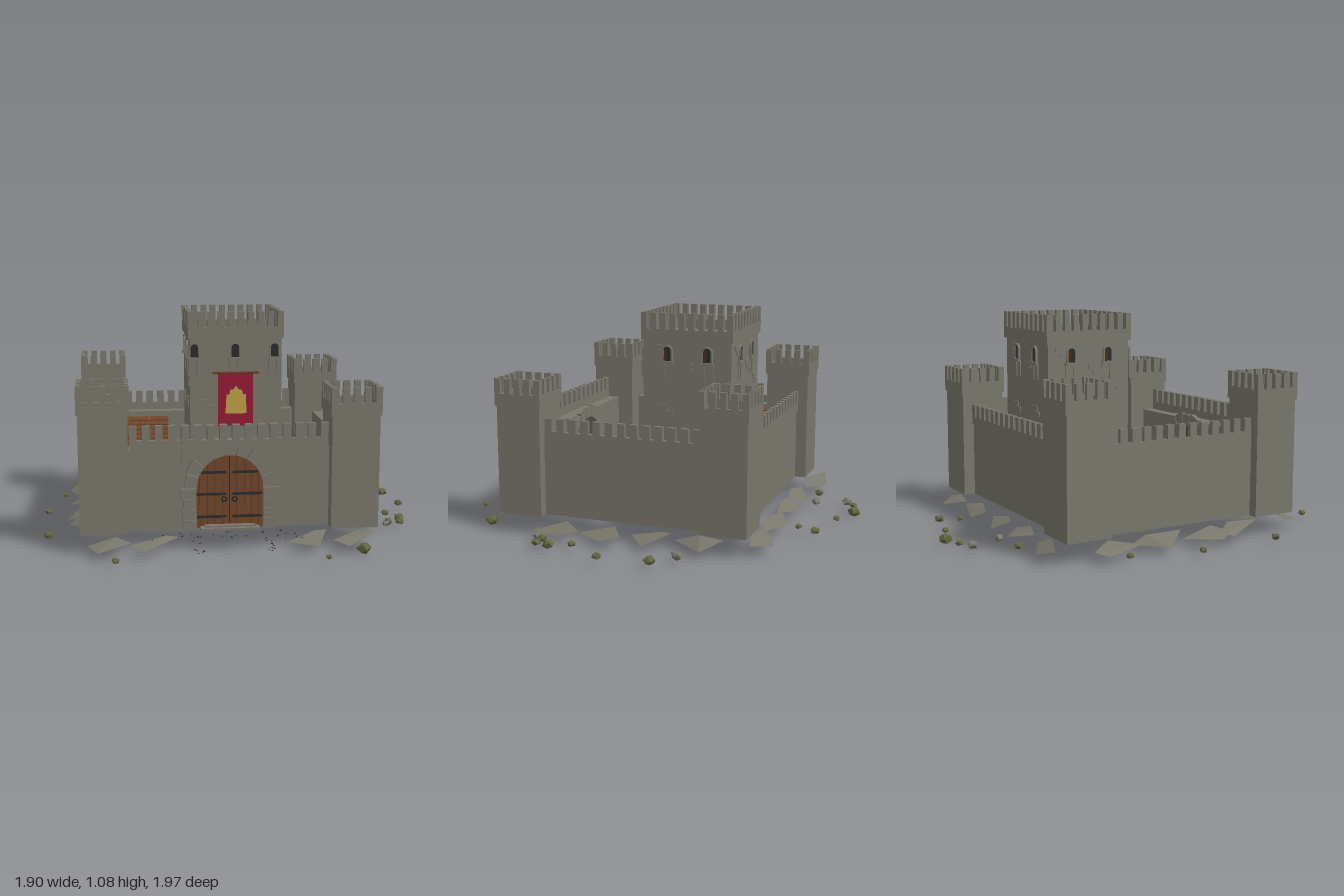
import * as THREE from 'three';
import { ConvexGeometry } from 'three/addons/geometries/ConvexGeometry.js';

const mat = (name, color) => Object.assign(new THREE.MeshStandardMaterial({ color }), { name });

export function createModel() {
  const root = new THREE.Group();
  root.name = 'castle';
  const stone = mat('stone', 0x79776b), wood = mat('wood', 0x70452a), iron = mat('iron', 0x2b2b2b);
  const red = mat('banner red', 0x941c38), gold = mat('gold', 0xbfa045), moss = mat('mossy rock', 0x62663f);
  const darkWood = mat('dark wood', 0x4a2e1c);
  let seed = 7;
  const rnd = (a = 0, b = 1) => {
    seed = (seed * 16807) % 2147483647;
    return a + (b - a) * seed / 2147483647;
  };
  const group = (name, parent = root) => {
    const g = new THREE.Group();
    g.name = name;
    parent.add(g);
    return g;
  };
  const add = (parent, name, geo, m, x = 0, y = 0, z = 0) => {
    const mesh = new THREE.Mesh(geo, m);
    mesh.name = name;
    mesh.position.set(x, y, z);
    parent.add(mesh);
    return mesh;
  };
  // box given by its limits
  const box = (p, name, m, x0, x1, y0, y1, z0, z1) =>
    add(p, name, new THREE.BoxGeometry(x1 - x0, y1 - y0, z1 - z0), m, (x0 + x1) / 2, (y0 + y1) / 2, (z0 + z1) / 2);

  // a straight parapet with merlons, along x or z
  const parapet = (p, along, a0, a1, b0, b1, y0, y1, y2, n, fill = 0.6) => {
    const part = (name, s, e, lo, hi) => along === 'x'
      ? box(p, name, stone, s, e, lo, hi, b0, b1) : box(p, name, stone, b0, b1, lo, hi, s, e);
    part('parapet', a0, a1, y0, y1);
    const pitch = (a1 - a0) / (n - 1 + fill);
    for (let i = 0; i < n; i++) part('merlon', a0 + i * pitch, a0 + (i + fill) * pitch, y1, y2);
  };
  const crown = (p, x0, x1, z0, z1, y0, y1, y2, n, t) => {
    parapet(p, 'x', x0, x1, z0, z0 + t, y0, y1, y2, n);
    parapet(p, 'x', x0, x1, z1 - t, z1, y0, y1, y2, n);
    parapet(p, 'z', z0, z1, x0, x0 + t, y0, y1, y2, n);
    parapet(p, 'z', z0, z1, x1 - t, x1, y0, y1, y2, n);
  };

  // corner towers
  for (const [cx, cz, top] of [[-0.64, 0.523, 0.8], [-0.64, -0.515, 0.81], [0.54, 0.523, 0.775], [0.54, -0.515, 0.775]]) {
    const t = group('cornerTower'), r = 0.114, c = 0.121;
    box(t, 'towerBody', stone, cx - r, cx + r, 0.1, top - 0.12, cz - r, cz + r);
    crown(t, cx - c, cx + c, cz - c, cz + c, top - 0.135, top - 0.075, top, 5, 0.02);
  }

  // curtain walls, with the parapet on the outer edge
  const walls = group('curtainWalls');
  box(walls, 'frontWall', stone, -0.53, -0.26, 0.1, 0.485, 0.495, 0.57);
  box(walls, 'frontWall', stone, 0.165, 0.43, 0.1, 0.485, 0.495, 0.57);
  box(walls, 'backWall', stone, -0.53, 0.43, 0.1, 0.48, -0.57, -0.49);
  box(walls, 'leftWall', stone, 0.525, 0.605, 0.1, 0.48, -0.4, 0.41);
  box(walls, 'rightWall', stone, -0.705, -0.625, 0.1, 0.48, -0.4, 0.41);
  parapet(walls, 'x', -0.52, 0.42, 0.555, 0.58, 0.48, 0.53, 0.6, 16);
  parapet(walls, 'x', -0.52, 0.42, -0.58, -0.555, 0.48, 0.52, 0.585, 16);
  parapet(walls, 'z', -0.395, 0.402, 0.59, 0.613, 0.48, 0.52, 0.585, 13);
  parapet(walls, 'z', -0.395, 0.402, -0.713, -0.69, 0.48, 0.52, 0.585, 13);

  // gatehouse with an arched opening
  const gate = group('gatehouse'), gx = -0.05, spring = 0.3, R = 0.16;
  const arch = (Path, r) => {
    const s = new Path();
    s.moveTo(gx - r, 0.1);
    s.lineTo(gx + r, 0.1);
    s.lineTo(gx + r, spring);
    s.absarc(gx, spring, r, 0, Math.PI, false);
    s.lineTo(gx - r, 0.1);
    return s;
  };
  const extrude = (shape, depth) => new THREE.ExtrudeGeometry(shape, { depth, bevelEnabled: false, curveSegments: 16 });
  const front = new THREE.Shape();
  front.moveTo(gx - 0.225, 0.1);
  front.lineTo(gx - R, 0.1);
  front.lineTo(gx - R, spring);
  front.absarc(gx, spring, R, Math.PI, 0, true);
  front.lineTo(gx + R, 0.1);
  front.lineTo(gx + 0.225, 0.1);
  front.lineTo(gx + 0.225, 0.49);
  front.lineTo(gx - 0.225, 0.49);
  add(gate, 'gateWall', extrude(front, 0.1), stone, 0, 0, 0.48);
  parapet(gate, 'x', gx - 0.225, gx + 0.225, 0.565, 0.592, 0.485, 0.53, 0.6, 8);

  // arch stones and jambs on both faces
  for (const z of [0.575, 0.47]) {
    for (let i = 0; i < 9; i++) {
      const a = i * Math.PI / 9 + 0.012, b = (i + 1) * Math.PI / 9 - 0.012, o = 0.215 + (i % 2) * 0.008;
      const s = new THREE.Shape();
      s.absarc(gx, spring, o, a, b, false);
      s.absarc(gx, spring, R - 0.003, b, a, true);
      add(gate, 'archStone', extrude(s, 0.022 + (i % 2) * 0.003), stone, 0, 0, z);
    }
    for (const s of [-1, 1]) for (let i = 0; i < 4; i++) {
      const w = i === 3 ? 0.232 : 0.218 + (i % 2) * 0.007;
      const xs = [gx + s * 0.158, gx + s * w].sort((a, b) => a - b);
      box(gate, 'jambStone', stone, xs[0], xs[1], 0.1 + i * 0.05, 0.148 + i * 0.05, z, z + 0.023);
    }
  }
  add(gate, 'door', extrude(arch(THREE.Shape, R), 0.02), wood, 0, 0, 0.545);
  for (const y of [0.155, 0.265, 0.37]) for (const s of [-1, 1]) {
    const w = y > 0.3 ? 0.135 : 0.155;
    box(gate, 'hinge', iron, gx + (s < 0 ? -w : 0.015), gx + (s < 0 ? -0.015 : w), y - 0.006, y + 0.006, 0.564, 0.571);
  }
  for (let i = -4; i <= 4; i++) {
    const x = gx + i * 0.035, w = i ? 0.001 : 0.002, h = spring + Math.sqrt(R * R - (i * 0.035) ** 2);
    box(gate, 'plankSeam', i ? darkWood : iron, x - w, x + w, 0.1, h, 0.5445, 0.5658);
  }
  for (const s of [-1, 1]) add(gate, 'handle', new THREE.TorusGeometry(0.011, 0.004, 6, 12), iron, gx + s * 0.025, 0.24, 0.572);
  box(gate, 'step', stone, -0.19, 0.09, 0.1, 0.112, 0.575, 0.625);
  box(gate, 'step', stone, -0.17, 0.07, 0.112, 0.12, 0.575, 0.605);

  // keep
  const keep = group('keep'), kx = 0.044, kz = -0.21, kw = 0.238, kd = 0.226;
  box(keep, 'keepBody', stone, kx - kw, kx + kw, 0.1, 0.95, kz - kd, kz + kd);
  crown(keep, kx - kw - 0.01, kx + kw + 0.01, kz - kd - 0.01, kz + kd + 0.01, 0.945, 1.0, 1.08, 10, 0.025);

  // windows and raised masonry, one group for each face of the keep
  const pane = new THREE.Shape();
  pane.moveTo(-0.02, 0);
  pane.lineTo(0.02, 0);
  pane.lineTo(0.02, 0.05);
  pane.absarc(0, 0.05, 0.02, 0, Math.PI, false);
  const frame = new THREE.Shape();
  frame.moveTo(-0.028, -0.005);
  frame.lineTo(0.028, -0.005);
  frame.lineTo(0.028, 0.05);
  frame.absarc(0, 0.05, 0.028, 0, Math.PI, false);
  frame.holes.push(pane.clone());
  const face = (name, angle, dist, xs, bricks) => {
    const f = group(name, keep);
    f.position.set(kx, 0, kz);
    f.rotation.y = angle;
    for (const x of xs) {
      add(f, 'windowPane', extrude(pane, 0.004), iron, x, 0.845, dist);
      add(f, 'windowFrame', extrude(frame, 0.012), stone, x, 0.845, dist);
      if (angle) box(f, 'shutter', darkWood, x - 0.017, x - 0.003, 0.85, 0.9, dist, dist + 0.007);
      box(f, 'sill', stone, x - 0.034, x + 0.034, 0.83, 0.842, dist, dist + 0.016);
      for (const s of [-0.022, 0.022])
        box(f, 'bracket', stone, x + s - 0.01, x + s + 0.01, 0.755, 0.83, dist, dist + (angle ? 0.006 : 0.013));
    }
    for (const [x, y] of bricks) {
      box(f, 'brick', stone, x - 0.035, x + 0.025, y, y + 0.025, dist, dist + 0.006);
      box(f, 'brick', stone, x - 0.01, x + 0.045, y - 0.027, y - 0.002, dist, dist + 0.006);
    }
  };
  const side = [[-0.15, 0.9], [0.03, 0.81], [0.17, 0.72], [-0.12, 0.6], [0.1, 0.6], [-0.03, 0.42], [0.15, 0.3]];
  face('keepFront', 0, kd, [-0.215, -0.004, 0.2], [[-0.15, 0.6], [0.18, 0.5], [-0.1, 0.3]]);
  face('keepBack', Math.PI, kd, [-0.1, 0.1], side);
  face('keepLeft', Math.PI / 2, kw, [-0.1, 0.105], side);
  face('keepRight', -Math.PI / 2, kw, [-0.1, 0.105], side);

  // banner with a plain tower-shaped emblem
  const banner = group('banner');
  const rod = add(banner, 'rod', new THREE.CylinderGeometry(0.006, 0.006, 0.24, 8), wood, 0.04, 0.768, 0.04);
  rod.rotation.z = Math.PI / 2;
  box(banner, 'cloth', red, -0.052, 0.13, 0.49, 0.765, 0.034, 0.042);
  const emblem = new THREE.Shape([[-0.055, -0.07], [0.055, -0.07], [0.05, 0.03], [0.035, 0.03], [0.03, 0.055],
    [0.015, 0.055], [0, 0.075], [-0.015, 0.055], [-0.03, 0.055], [-0.035, 0.03], [-0.05, 0.03]].map(p => new THREE.Vector2(...p)));
  add(banner, 'emblem', extrude(emblem, 0.004), gold, 0.042, 0.625, 0.041);

  // plank-roofed shelter, rising to the back
  const shelter = group('shelter');
  for (let r = 0; r < 8; r++) for (let c = 0; c < 5; c++) {
    const m = add(shelter, 'roofPlank', new THREE.BoxGeometry(0.05, 0.012, 0.062), wood,
      -0.525 + c * 0.0525 + rnd(-0.004, 0.004), 0.36 + r * 0.014, 0.02 - r * 0.055);
    m.rotation.x = 0.15;
  }
  box(shelter, 'roofBeam', wood, -0.53, -0.31, 0.325, 0.345, 0, 0.02);
  box(shelter, 'roofBeam', wood, -0.53, -0.31, 0.42, 0.44, -0.37, -0.35);
  for (const x of [-0.53, -0.31]) {
    box(shelter, 'post', wood, x - 0.01, x + 0.01, 0.1, 0.34, 0, 0.02);
    box(shelter, 'post', wood, x - 0.01, x + 0.01, 0.1, 0.44, -0.37, -0.35);
  }
  box(shelter, 'crate', wood, -0.48, -0.33, 0.1, 0.19, -0.29, -0.07);

  // weapon rack beside the wall
  const rack = group('weaponRack');
  const roof = box(rack, 'rackRoof', wood, 0.365, 0.525, 0.33, 0.345, 0.02, 0.325);
  roof.rotation.z = 0.25;
  for (const z of [0.04, 0.305]) box(rack, 'rackPost', wood, 0.385, 0.4, 0.1, 0.32, z - 0.008, z + 0.008);
  for (const y of [0.15, 0.23]) box(rack, 'rackRail', wood, 0.375, 0.39, y, y + 0.015, 0.04, 0.305);
  for (let i = 0; i < 5; i++) {
    const z = 0.145 + i * 0.033;
    const blade = box(rack, 'blade', iron, 0.357, 0.363, 0.11, 0.27, z - 0.006, z + 0.006);
    blade.rotation.z = -0.15;
    box(rack, 'crossGuard', iron, 0.335, 0.37, 0.215, 0.222, z - 0.012, z + 0.012);
  }

  // barrels
  for (const [x, z] of [[0.45, -0.23], [-0.475, 0.222], [-0.412, 0.248]]) {
    const b = group('barrel');
    b.position.set(x, 0.1, z);
    const profile = [[0, 0], [0.024, 0], [0.03, 0.03], [0.03, 0.065], [0.024, 0.095], [0, 0.095]];
    add(b, 'barrelBody', new THREE.LatheGeometry(profile.map(p => new THREE.Vector2(...p)), 12), wood);
    for (const y of [0.025, 0.07]) add(b, 'hoop', new THREE.CylinderGeometry(0.0308, 0.0308, 0.007, 12), iron, 0, y, 0);
  }

  // paving stones
  for (let r = 0; r < 5; r++) for (const x of [-0.096, -0.004]) {
    const m = add(root, 'pavingStone', new THREE.BoxGeometry(0.07, 0.012, 0.072), stone, x, 0.106, 0.09 + r * 0.102);
    m.rotation.y = rnd(-0.06, 0.06);
  }

  // jagged rock slabs around the foot: x, z, length, turn so that the point faces outwards
  const H = Math.PI / 2;
  for (const [x, z, len, turn] of [
    [-0.63, -0.66, 0.28, 2 * H], [-0.31, -0.64, 0.24, 2 * H], [-0.06, -0.65, 0.25, 2 * H], [0.24, -0.64, 0.3, 2 * H],
    [0.49, -0.66, 0.26, 2 * H], [-0.77, -0.39, 0.25, -H], [-0.77, -0.15, 0.26, -H], [-0.77, 0.1, 0.26, -H],
    [-0.75, 0.31, 0.25, -H], [0.66, -0.39, 0.25, H], [0.67, -0.16, 0.2, H], [0.67, 0.09, 0.23, H], [0.67, 0.31, 0.25, H],
    [-0.62, 0.665, 0.2, 0], [-0.41, 0.665, 0.23, 0], [0.31, 0.655, 0.2, 0], [0.53, 0.67, 0.21, 0]]) {
    const L = len / 2, pts = [[-L, rnd(0.045, 0.065), rnd(-0.05, 0.04)], [L, rnd(0.06, 0.09), rnd(-0.05, 0.04)],
      [rnd(-L, L) * 0.6, 0.04, 0.065], [rnd(-L, L) * 0.6, 0.085, -0.045]];
    add(root, 'rockSlab', new ConvexGeometry(pts.map(p => new THREE.Vector3(...p))), stone, x, 0, z).rotation.y = turn;
  }

  // loose rocks outside
  [[-0.34, -0.9, 0.03], [-0.28, -0.945, 0.02], [-0.17, -0.97, 0.036], [-0.015, -0.91, 0.02], [0.22, -0.85, 0.026],
    [0.18, -0.76, 0.02], [-0.46, -0.725, 0.026], [-0.285, -0.745, 0.026], [-0.855, -0.365, 0.02], [-0.935, -0.025, 0.02],
    [-0.91, 0.41, 0.024], [-0.59, 0.835, 0.02], [0.37, 0.88, 0.016], [0.565, 0.735, 0.038], [0.795, -0.345, 0.032],
    [0.9, -0.25, 0.03], [0.93, -0.005, 0.024], [0.81, 0.175, 0.022], [0.855, 0.275, 0.03], [0.78, 0.345, 0.026],
    [0.84, 0.345, 0.024], [0.76, 0.38, 0.02]].forEach(([x, z, r], i) => {
    const pts = [];
    for (let k = 0; k < 12; k++) {
      const a = k * 2.4, h = 1 - 2 * (k + 0.5) / 12, q = Math.sqrt(1 - h * h) * rnd(0.8, 1.1);
      pts.push(new THREE.Vector3(q * Math.cos(a) * r, h * r * 0.75, q * Math.sin(a) * r));
    }
    add(root, 'looseRock', new ConvexGeometry(pts), i % 7 === 0 ? stone : moss, x, i === 13 ? 0.028 : 0.04, z).rotation.y = i;
  });

  // pebbles along the track to the gate
  for (let i = 0; i < 44; i++) {
    const far = i % 2, x = far ? (i % 4 === 1 ? -0.22 : 0.11) + rnd(-0.025, 0.025) : rnd(-0.45, 0.35);
    const m = add(root, 'pebble', new THREE.TetrahedronGeometry(rnd(0.005, 0.009)), iron, x, 0.1, far ? rnd(0.65, 0.99) : rnd(0.63, 0.77));
    m.scale.y = 0.5;
    m.rotation.y = i;
  }
  return root;
}
